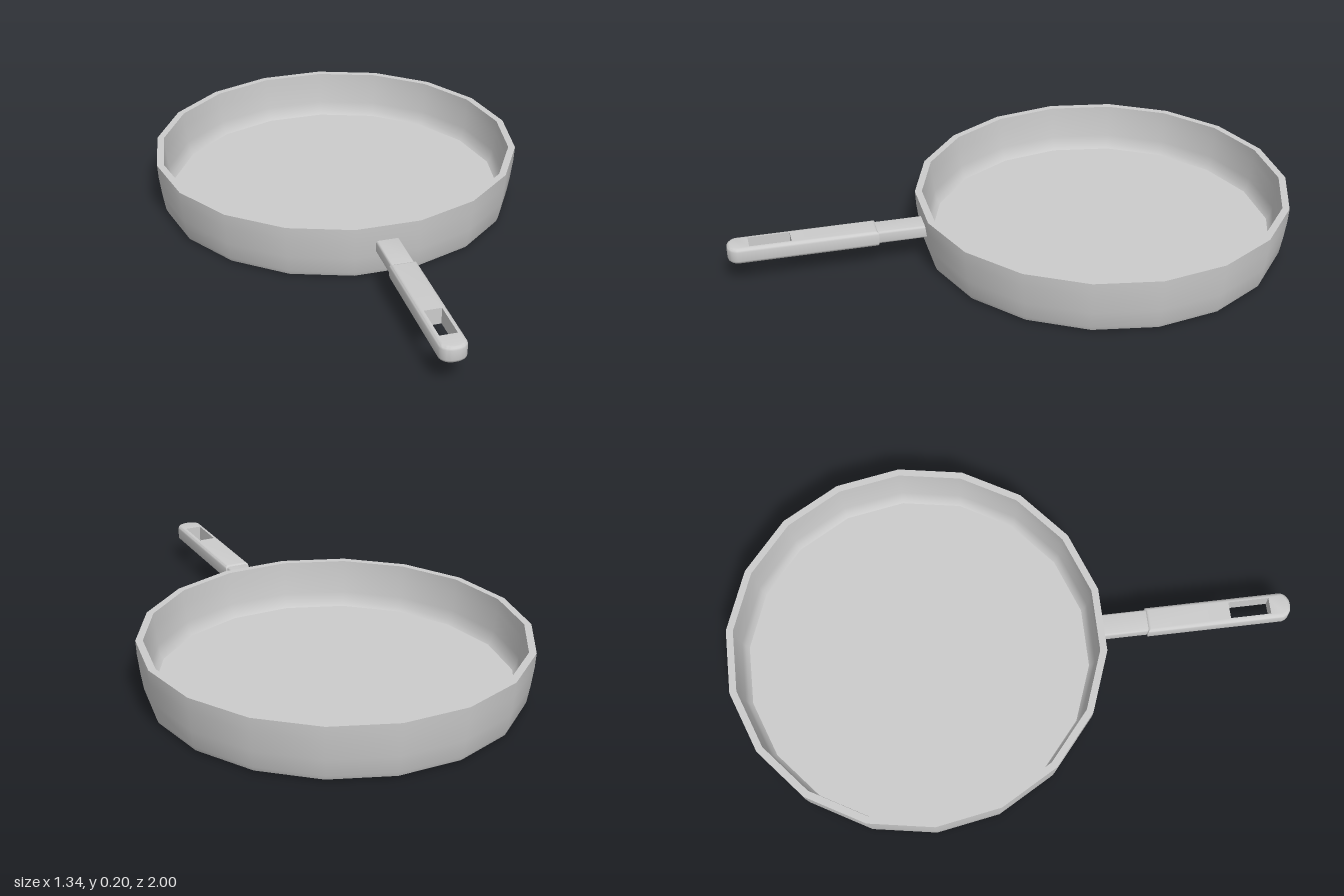
import * as THREE from 'three';
import { toCreasedNormals } from 'three/addons/utils/BufferGeometryUtils.js';

const SIDES = 18;
const PAN_Z = -0.34;
const material = new THREE.MeshStandardMaterial({ color: 0xcccccc });

function part(name, geometry, crease) {
  const mesh = new THREE.Mesh(toCreasedNormals(geometry, crease), material);
  mesh.name = name;
  return mesh;
}

// Bevelled slab from a plan outline (x, z), filling bottom..top in y
function slab(shape, bottom, top, bevel) {
  const geometry = new THREE.ExtrudeGeometry(shape, {
    depth: top - bottom - 2 * bevel, curveSegments: 8,
    bevelSize: bevel, bevelThickness: bevel, bevelSegments: 3,
  });
  geometry.rotateX(Math.PI / 2);
  geometry.translate(0, top - bevel, 0);
  return geometry;
}

// Hollow pan: outer wall up, flat rim, inner wall down to the floor
function makePan() {
  const profile = [
    [0, 0], [0.632, 0], [0.642, 0.005], [0.648, 0.02], [0.658, 0.08],
    [0.667, 0.15], [0.67, 0.2], [0.645, 0.2], [0.642, 0.15],
    [0.633, 0.08], [0.626, 0.045], [0.614, 0.03], [0, 0.03],
  ].map(([r, y]) => new THREE.Vector2(r, y));
  const geometry = new THREE.LatheGeometry(profile, SIDES, Math.PI / SIDES);
  geometry.translate(0, 0, PAN_Z);
  return part('pan', geometry, 0.65);
}

// Slim neck joining the wall to the grip
function makeNeck() {
  const w = 0.033;
  const shape = new THREE.Shape([
    new THREE.Vector2(-w, 0.312), new THREE.Vector2(w, 0.312),
    new THREE.Vector2(w, 0.5), new THREE.Vector2(-w, 0.5),
  ]);
  return part('handleNeck', slab(shape, 0.097, 0.143, 0.008), 0.7);
}

// Grip with a rounded tip and a hanging slot
function makeGrip() {
  const bevel = 0.012, w = 0.047 - bevel;
  const slot = { x: 0.03, z0: 0.78, z1: 0.925 };
  const shape = new THREE.Shape();
  shape.moveTo(-w, 0.48 + bevel);
  shape.lineTo(w, 0.48 + bevel);
  shape.lineTo(w, 0.965);
  shape.bezierCurveTo(w - 0.004, 0.981, 0.018, 0.988, 0, 0.988);
  shape.bezierCurveTo(-0.018, 0.988, -w + 0.004, 0.981, -w, 0.965);
  shape.closePath();
  shape.holes.push(new THREE.Path([
    new THREE.Vector2(-slot.x, slot.z0), new THREE.Vector2(-slot.x, slot.z1),
    new THREE.Vector2(slot.x, slot.z1), new THREE.Vector2(slot.x, slot.z0),
  ]));
  const geometry = slab(shape, 0.09, 0.148, bevel);

  // Straighten the slot walls so that only the outer edges are rounded
  const p = geometry.attributes.position;
  for (let i = 0; i < p.count; i++) {
    const x = p.getX(i), z = p.getZ(i);
    if (Math.abs(x) < 0.0325 && z > 0.77 && z < 0.94) {
      p.setX(i, Math.sign(x) * slot.x);
      p.setZ(i, z < 0.85 ? slot.z0 : slot.z1);
    }
  }
  return part('handleGrip', geometry, 0.7);
}

export function createModel() {
  const model = new THREE.Group();
  model.name = 'fryingPan';
  const handle = new THREE.Group();
  handle.name = 'handle';
  handle.add(makeNeck(), makeGrip());
  model.add(makePan(), handle);
  return model;
}
